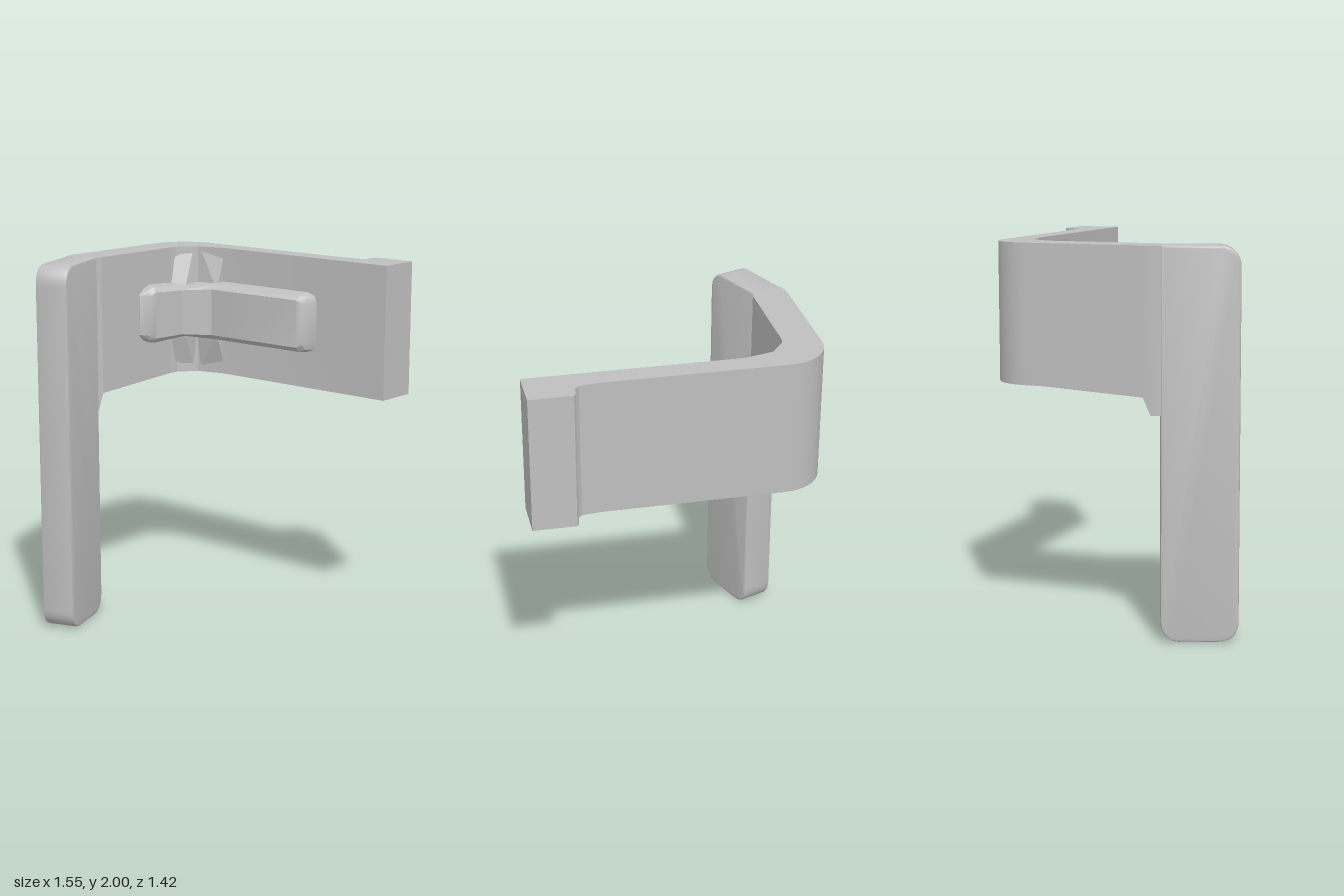
import * as THREE from 'three';
import { toCreasedNormals } from 'three/addons/utils/BufferGeometryUtils.js';
import { ConvexGeometry } from 'three/addons/geometries/ConvexGeometry.js';

const TOP = 2, BOTTOM = 1.28, PAD_Y = 1.645;

export function createModel() {
  const group = new THREE.Group();
  const grey = new THREE.MeshStandardMaterial({ color: 0xbfbfbf });
  grey.name = 'light grey';

  const add = (name, geometry, crease = 0.5) => {
    const mesh = new THREE.Mesh(toCreasedNormals(geometry, crease), grey);
    mesh.name = name;
    group.add(mesh);
    return mesh;
  };

  // The underside dips slightly along the side wall, then drops to the leg.
  const underside = (z) => {
    if (z <= -0.3) return BOTTOM;
    return z < 0.26 ? BOTTOM - 0.03 * (z + 0.3) / 0.55 : 1.16;
  };

  // Vertical prism from a plan outline of [x, z] points.
  const prism = (plan) => {
    const shape = new THREE.Shape(plan.map(([x, z]) => new THREE.Vector2(x, -z)));
    const geo = new THREE.ExtrudeGeometry(shape, { depth: TOP - BOTTOM, bevelEnabled: false });
    geo.rotateX(-Math.PI / 2).translate(0, BOTTOM, 0);
    const p = geo.attributes.position;
    for (let i = 0; i < p.count; i++) {
      if (p.getY(i) < BOTTOM + 0.01) p.setY(i, underside(p.getZ(i)));
    }
    return geo;
  };

  // Back wall with the end block and the rounded outer corner
  const arc = [];
  for (let i = 0; i <= 10; i++) {
    const a = (i / 10) * Math.PI / 2;
    arc.push([-0.55 - 0.228 * Math.sin(a), -0.38 - 0.228 * Math.cos(a)]);
  }
  add('backWall', prism([
    [0.775, -0.485], [0.775, -0.718], [0.55, -0.718], [0.538, -0.7], [0.535, -0.645],
    [0.51, -0.62], [0.42, -0.608], ...arc, [-0.778, -0.3],
    [-0.585, -0.3], [-0.58, -0.345], [-0.505, -0.445], [-0.35, -0.485],
  ]));

  // Side wall and the bend into the leg
  add('sideWall', prism([[-0.778, -0.3], [-0.778, 0.25], [-0.585, 0.25], [-0.585, -0.3]]));
  add('bend', prism([[-0.778, 0.25], [-0.776, 0.29], [-0.763, 0.34], [-0.595, 0.275], [-0.585, 0.25]]));

  // Long leg: a rounded plate turned to follow the bend
  const w = 0.395, r = 0.11, b = 0.012;
  const plate = new THREE.Shape();
  plate.moveTo(b, TOP - b);
  plate.lineTo(b, r);
  plate.quadraticCurveTo(b, b, r, b);
  plate.lineTo(w - r, b);
  plate.quadraticCurveTo(w - b, b, w - b, r);
  plate.lineTo(w - b, TOP - r);
  plate.quadraticCurveTo(w - b, TOP - b, w - r, TOP - b);
  const leg = add('leg', new THREE.ExtrudeGeometry(plate, {
    depth: 0.18 - 2 * b, bevelThickness: b, bevelSize: b, bevelSegments: 2, curveSegments: 8,
  }).translate(0, 0, b), 0.6);
  leg.position.set(-0.595, 0, 0.275);
  leg.rotation.y = -1.205;

  // Raised pad round the inner corner: [base x, z, face x, z, base half height, face half height]
  const stations = [
    [0.32, -0.49, 0.315, -0.475, 0.12, 0.11],
    [0.305, -0.49, 0.278, -0.408, 0.15, 0.115],
    [0.26, -0.49, 0.25, -0.393, 0.165, 0.13],
    [-0.35, -0.49, -0.35, -0.386, 0.165, 0.13],
    [-0.55, -0.42, -0.475, -0.28, 0.15, 0.125],
    [-0.6, -0.13, -0.508, -0.1, 0.165, 0.13],
    [-0.6, -0.08, -0.525, -0.08, 0.15, 0.115],
    [-0.6, -0.04, -0.58, -0.042, 0.12, 0.11],
  ];
  const rings = stations.map(([bx, bz, fx, fz, hb, hf]) => {
    const mx = bx + 0.72 * (fx - bx), mz = bz + 0.72 * (fz - bz), hm = hb - 0.008;
    return [[bx, -hb, bz], [mx, -hm, mz], [fx, -hf, fz], [fx, hf, fz], [mx, hm, mz], [bx, hb, bz]]
      .map(([x, y, z]) => [x, PAD_Y + y, z]);
  });
  const pos = [];
  const tri = (...pts) => pts.forEach((q) => pos.push(...q));
  for (let i = 0; i < rings.length - 1; i++) {
    for (let j = 0; j < 5; j++) {
      const a = rings[i][j], c = rings[i][j + 1], d = rings[i + 1][j], e = rings[i + 1][j + 1];
      tri(a, c, d);
      tri(c, e, d);
    }
  }
  for (let j = 1; j < 5; j++) {
    tri(rings[0][0], rings[0][j + 1], rings[0][j]);
    tri(rings[7][0], rings[7][j], rings[7][j + 1]);
  }
  const padGeo = new THREE.BufferGeometry();
  padGeo.setAttribute('position', new THREE.Float32BufferAttribute(pos, 3));
  add('innerPad', padGeo);

  // Faceted gussets above and below the pad in the inner corner
  for (const s of [1, -1]) {
    const v = (x, h, z) => new THREE.Vector3(x, PAD_Y + s * h, z);
    add('backGusset', new ConvexGeometry([
      v(-0.35, 0.12, -0.43), v(-0.5, 0.12, -0.43), v(-0.35, 0.12, -0.5), v(-0.52, 0.12, -0.46),
      v(-0.35, 0.3, -0.487), v(-0.49, 0.34, -0.452),
    ]), 0.1);
    add('sideGusset', new ConvexGeometry([
      v(-0.51, 0.12, -0.34), v(-0.5, 0.12, -0.43), v(-0.565, 0.12, -0.28), v(-0.6, 0.12, -0.34),
      v(-0.583, 0.3, -0.335), v(-0.525, 0.34, -0.43),
    ]), 0.1);
  }
  return group;
}
